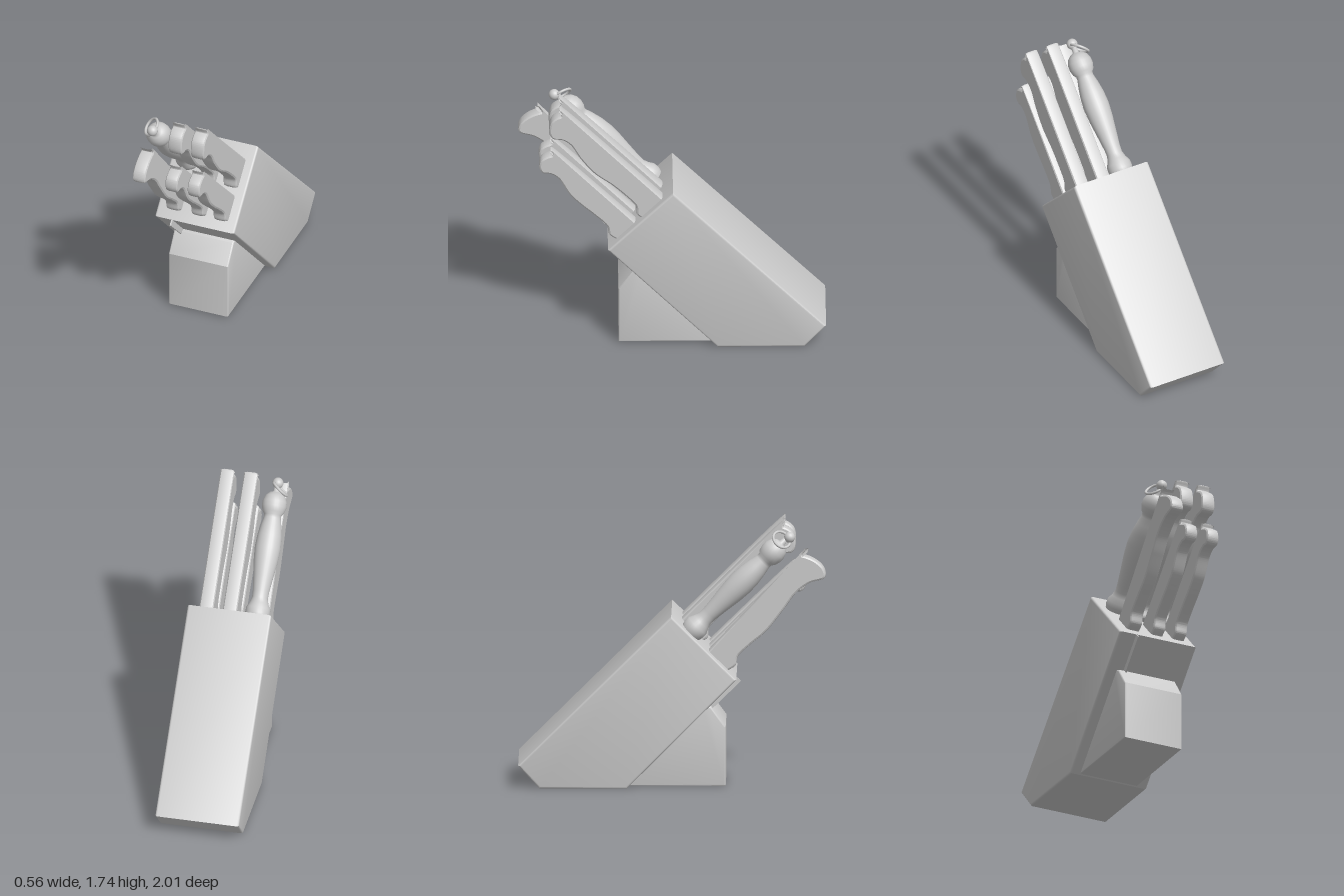
import * as THREE from 'three';
import { toCreasedNormals } from 'three/addons/utils/BufferGeometryUtils.js';

const material = new THREE.MeshStandardMaterial({ color: 0xcccccc });

// Shape in the side plane, points given as [z, y]; optionally a spline from the second point on
function sideShape(points, smooth) {
  const v = points.map(([z, y]) => new THREE.Vector2(z, y));
  if (!smooth) return new THREE.Shape(v);
  const shape = new THREE.Shape();
  shape.moveTo(v[0].x, v[0].y);
  shape.lineTo(v[1].x, v[1].y);
  shape.splineThru(v.slice(2));
  return shape;
}

// Slab of a given width across x, with bevelled edges
function slab(name, points, width, x, bevel, bevelDepth = bevel, smooth = false, segments = 3) {
  const depth = width - 2 * bevelDepth;
  const geometry = new THREE.ExtrudeGeometry(sideShape(points, smooth), {
    depth, curveSegments: 36, bevelEnabled: bevel > 0, bevelSize: bevel,
    bevelThickness: bevelDepth, bevelOffset: -bevel, bevelSegments: segments,
  });
  geometry.translate(0, 0, -depth / 2);
  geometry.rotateY(-Math.PI / 2);
  const mesh = new THREE.Mesh(toCreasedNormals(geometry, 0.55), material);
  mesh.name = name;
  mesh.position.x = x;
  return mesh;
}

function ball(name, radius, x, y, z) {
  const mesh = new THREE.Mesh(new THREE.SphereGeometry(radius, 20, 14), material);
  mesh.name = name;
  mesh.position.set(x, y, z);
  return mesh;
}

// Sharpening steel: turned handle leaning out of the block, with knob and hanging ring
function sharpeningSteel() {
  const steel = new THREE.Group();
  steel.name = 'sharpeningSteel';
  const profile = [
    [0, -0.03], [0.06, -0.03], [0.074, 0.0], [0.082, 0.03], [0.08, 0.065], [0.062, 0.1],
    [0.052, 0.135], [0.054, 0.18], [0.066, 0.28], [0.079, 0.38], [0.085, 0.47],
    [0.08, 0.55], [0.068, 0.62], [0.056, 0.67], [0.056, 0.69], [0.071, 0.71],
    [0.081, 0.745], [0.08, 0.78], [0.066, 0.815], [0.042, 0.838], [0.02, 0.846],
    [0.016, 0.89], [0, 0.89],
  ].map(([r, s]) => new THREE.Vector2(r, s));
  const handle = new THREE.Mesh(new THREE.LatheGeometry(profile, 28), material);
  handle.name = 'steelHandle';
  handle.position.set(-0.155, 1.025, 0.125);
  handle.rotation.x = Math.PI / 4;
  const ring = new THREE.Mesh(new THREE.TorusGeometry(0.06, 0.009, 8, 32), material);
  ring.name = 'hangingRing';
  ring.position.set(-0.182, 1.65, 0.72);
  ring.quaternion.setFromUnitVectors(new THREE.Vector3(0, 0, 1),
    new THREE.Vector3(-0.63, 0.63, 0.45).normalize());
  steel.add(handle, ball('steelKnob', 0.036, -0.155, 1.66, 0.772), ring);
  return steel;
}

export function createModel() {
  const model = new THREE.Group();
  model.name = 'knifeBlock';

  // Slanted block and the foot that props it up
  model.add(slab('block', [[0, 1.155], [-1, 0.155], [-0.86, 0.003], [-0.29, 0.003], [0.425, 0.73]],
    0.56, 0, 0.015));
  model.add(slab('foot', [[0.355, 0.01], [0.355, 0.405], [0.26, 0.535], [0.2, 0.56], [-0.32, 0.01]],
    0.42, 0, 0.01));

  // Handle outlines, from the upper edge round the butt to the collar at the block
  const upper = [
    [0.19, 0.92], [0.04, 1.06], [0.676, 1.69], [0.735, 1.702], [0.795, 1.66], [0.81, 1.58],
    [0.785, 1.53], [0.72, 1.518], [0.665, 1.476], [0.606, 1.38], [0.515, 1.27],
    [0.397, 1.18], [0.3, 1.09], [0.245, 1.027], [0.237, 0.965], [0.21, 0.94],
  ];
  const lower = [
    [0.35, 0.76], [0.215, 0.88], [0.745, 1.398], [0.795, 1.408], [0.86, 1.375], [0.875, 1.315],
    [0.85, 1.272], [0.8, 1.265], [0.745, 1.225], [0.676, 1.11], [0.595, 1.027],
    [0.515, 0.957], [0.435, 0.877], [0.418, 0.813], [0.38, 0.782],
  ];
  const large = [
    [0.35, 0.76], [0.215, 0.88], [0.83, 1.53], [0.86, 1.547], [0.94, 1.515], [0.997, 1.46],
    [1, 1.395], [0.9, 1.36], [0.81, 1.29], [0.73, 1.18], [0.62, 1.04],
    [0.515, 0.95], [0.44, 0.877], [0.42, 0.813], [0.38, 0.782],
  ];
  for (const x of [0.016, 0.173]) {
    model.add(slab('upperKnifeHandle', upper, 0.094, x, 0.014, 0.022, true, 2));
    model.add(slab('lowerKnifeHandle', lower, 0.086, x, 0.014, 0.022, true, 2));
  }
  model.add(slab('largeKnifeHandle', large, 0.09, -0.158, 0.014, 0.022, true, 2));

  // Edge of the large blade showing through the underside of the block
  model.add(slab('largeKnifeBlade', [[0.455, 0.703], [0.4, 0.75], [0.2, 0.55], [0.26, 0.51]],
    0.01, -0.158, 0));

  model.add(sharpeningSteel());
  return model;
}
